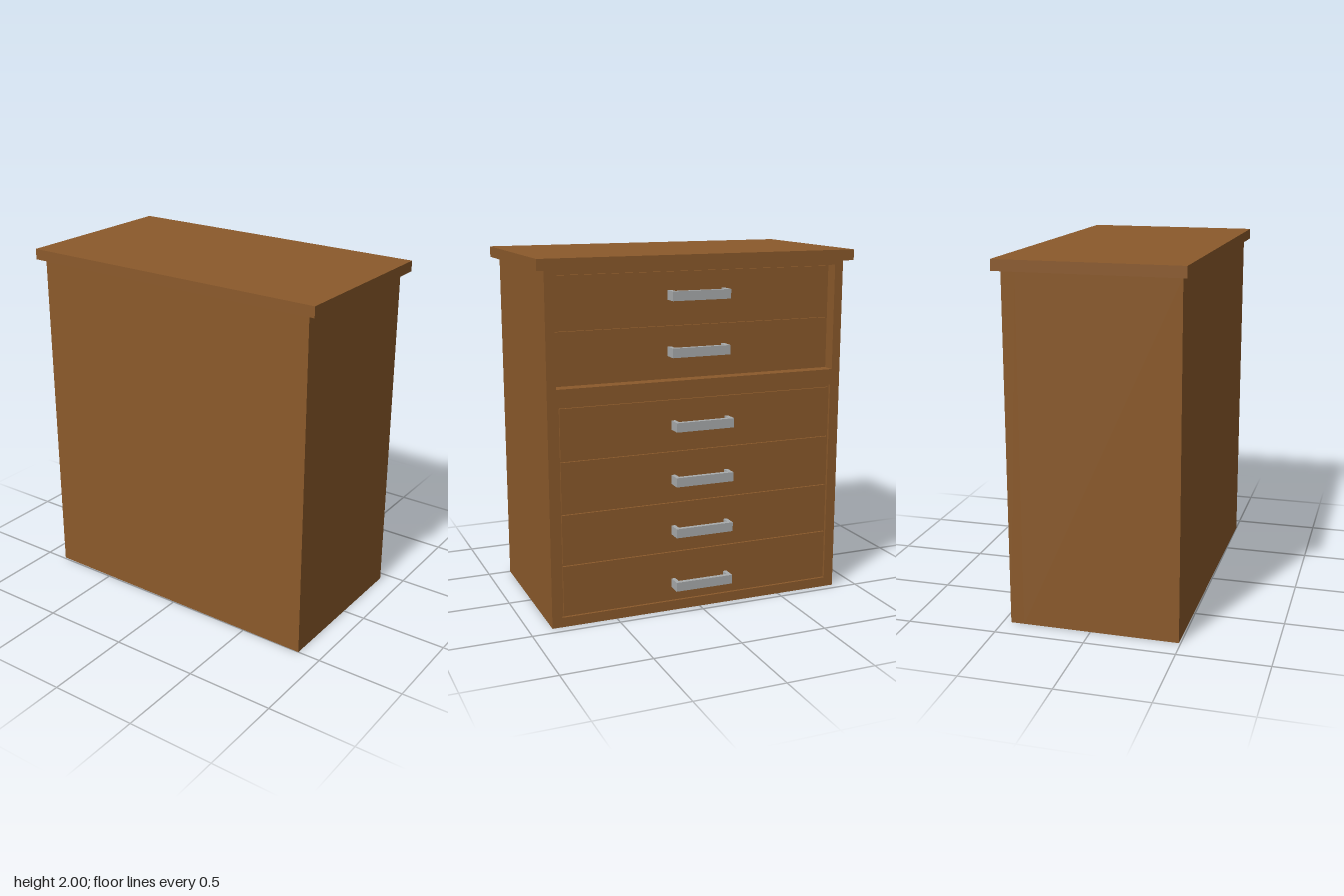
import * as THREE from 'three';

export function createModel() {
  const wood = new THREE.MeshStandardMaterial({ color: 0x8b5a2b });
  wood.name = 'brown wood';
  const metal = new THREE.MeshStandardMaterial({ color: 0xa9acad });
  metal.name = 'grey metal';

  const model = new THREE.Group();
  model.name = 'chestOfDrawers';

  // Box given by its limits on each axis
  const box = (name, mat, [x0, x1], [y0, y1], [z0, z1], parent = model) => {
    const mesh = new THREE.Mesh(new THREE.BoxGeometry(x1 - x0, y1 - y0, z1 - z0), mat);
    mesh.position.set((x0 + x1) / 2, (y0 + y1) / 2, (z0 + z1) / 2);
    mesh.name = name;
    parent.add(mesh);
    return mesh;
  };

  const FRONT = 0.45;
  const BACKING = 0.375;

  // Carcass and overhanging top
  box('carcass', wood, [-0.495, BACKING], [0, 1.94], [-0.87, 0.87]);
  box('top', wood, [-0.525, 0.485], [1.94, 2], [-0.917, 0.917]);

  // Front frame with an upper and a lower opening
  const rect = (Type, w, y0, y1) => {
    const r = new Type();
    r.moveTo(-w, y0).lineTo(w, y0).lineTo(w, y1).lineTo(-w, y1).closePath();
    return r;
  };
  const outline = rect(THREE.Shape, 0.87, 0, 1.94);
  outline.holes.push(rect(THREE.Path, 0.82, 1.32, 1.915), rect(THREE.Path, 0.812, 0.055, 1.23));
  const frameGeo = new THREE.ExtrudeGeometry(outline, { depth: FRONT - BACKING, bevelEnabled: false });
  frameGeo.rotateY(Math.PI / 2);
  const frame = new THREE.Mesh(frameGeo, wood);
  frame.position.x = BACKING;
  frame.name = 'frontFrame';
  model.add(frame);

  // Panel behind the lower drawers
  box('lowerBacking', wood, [BACKING, 0.435], [0.055, 1.23], [-0.812, 0.812]);

  // Drawer with a bracket handle: bottom, top, handle height, front face, backing
  const addDrawer = (y0, y1, handleY, face, back) => {
    const drawer = new THREE.Group();
    drawer.name = 'drawer';
    model.add(drawer);
    box('drawerFront', wood, [back, face], [y0, y1], [-0.803, 0.803], drawer);
    const handle = new THREE.Group();
    handle.name = 'handle';
    drawer.add(handle);
    const ys = [handleY - 0.026, handleY + 0.026];
    box('handleBar', metal, [face + 0.05, face + 0.076], ys, [-0.17, 0.17], handle);
    for (const s of [-1, 1]) {
      box('handlePost', metal, [face, face + 0.05], ys, [s * 0.159 - 0.011, s * 0.159 + 0.011], handle);
    }
  };

  // Two recessed upper drawers
  addDrawer(1.625, 1.905, 1.78, 0.39, BACKING);
  addDrawer(1.33, 1.612, 1.474, 0.39, BACKING);
  // Four lower drawers almost flush with the frame
  addDrawer(0.938, 1.216, 1.076, 0.448, 0.435);
  addDrawer(0.645, 0.925, 0.768, 0.448, 0.435);
  addDrawer(0.358, 0.633, 0.476, 0.448, 0.435);
  addDrawer(0.065, 0.345, 0.163, 0.448, 0.435);

  // Slight turn of the whole cabinet
  model.rotation.y = -0.0055;
  const root = new THREE.Group();
  root.name = 'cabinet';
  root.add(model);
  return root;
}
